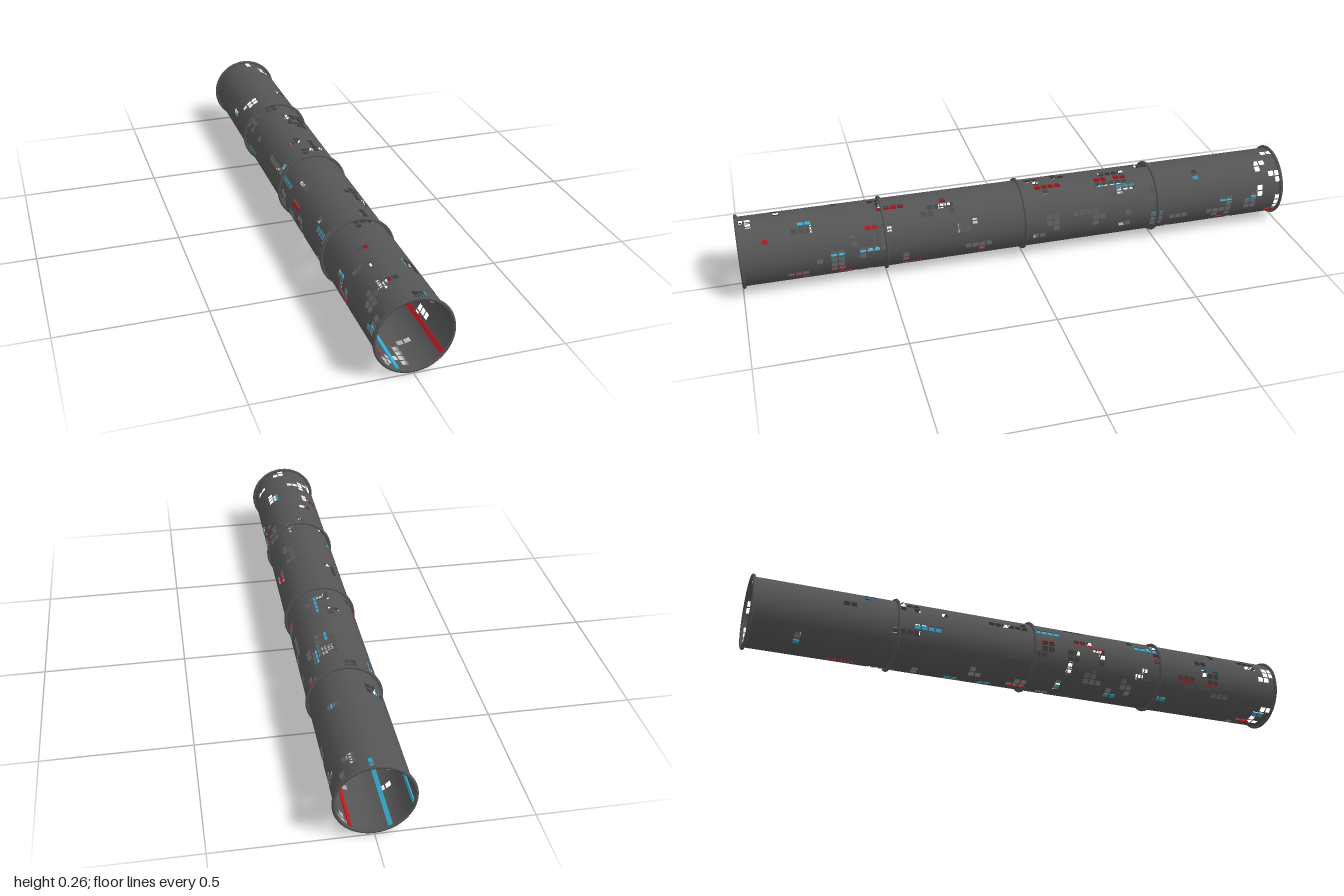
import * as THREE from 'three';

const R = 0.121, AXIS_Y = 0.13, AROUND = 32, ALONG = 80;

function seeded(seed) {
  return () => {
    seed = (seed * 1664525 + 1013904223) >>> 0;
    return seed / 4294967296;
  };
}

// Cells knocked out of the shell in small wandering clusters
function makeHoles() {
  const rand = seeded(77);
  const holes = new Set();
  for (let c = 0; c < 110; c++) {
    let a = Math.floor(rand() * AROUND), k = Math.floor(rand() * ALONG);
    const steps = 1 + Math.floor(rand() * 7);
    for (let s = 0; s < steps; s++) {
      holes.add(a + k * AROUND);
      const dir = rand() < 0.5 ? -1 : 1;
      if (rand() < 0.6) k = THREE.MathUtils.clamp(k + dir, 0, ALONG - 1);
      else a = (a + dir + AROUND) % AROUND;
    }
  }
  return holes;
}

// Thin wall on a regular grid; an open cell keeps only a narrow frame
function makeShell() {
  const positions = [], normals = [], holes = makeHoles();
  const corner = (a, k) => {
    const t = (a / AROUND) * Math.PI * 2;
    positions.push(R * Math.cos(t), R * Math.sin(t), -0.995 + (k / ALONG) * 1.99);
    normals.push(Math.cos(t), Math.sin(t), 0);
  };
  const patch = (a0, a1, k0, k1) => {
    [[a0, k0], [a1, k0], [a1, k1], [a0, k0], [a1, k1], [a0, k1]].forEach(p => corner(...p));
  };
  const rim = 0.09;
  for (let k = 0; k < ALONG; k++) {
    for (let a = 0; a < AROUND; a++) {
      if (!holes.has(a + k * AROUND)) {
        patch(a, a + 1, k, k + 1);
        continue;
      }
      patch(a, a + 1, k, k + rim);
      patch(a, a + 1, k + 1 - rim, k + 1);
      patch(a, a + rim, k + rim, k + 1 - rim);
      patch(a + 1 - rim, a + 1, k + rim, k + 1 - rim);
    }
  }
  const geometry = new THREE.BufferGeometry();
  geometry.setAttribute('position', new THREE.Float32BufferAttribute(positions, 3));
  geometry.setAttribute('normal', new THREE.Float32BufferAttribute(normals, 3));
  return geometry;
}

export function createModel() {
  const model = new THREE.Group();
  model.name = 'perforatedTunnel';
  const tube = new THREE.Group();
  tube.name = 'tube';
  tube.position.y = AXIS_Y;
  model.add(tube);

  const grey = new THREE.MeshStandardMaterial({ color: 0x555555 });
  const greyThin = new THREE.MeshStandardMaterial({ color: 0x555555, side: THREE.DoubleSide });
  const red = new THREE.MeshStandardMaterial({ color: 0xc01820 });
  const blue = new THREE.MeshStandardMaterial({ color: 0x35a8cc });

  const shell = new THREE.Mesh(makeShell(), greyThin);
  shell.name = 'perforatedShell';
  tube.add(shell);

  // Hoops at the ends and at the section joints
  const hoop = new THREE.TorusGeometry(0.124, 0.006, 10, 64);
  [-0.994, -0.5, 0, 0.5, 0.994].forEach((z, i) => {
    const ring = new THREE.Mesh(hoop, grey);
    ring.name = `supportRing${i + 1}`;
    ring.position.z = z;
    tube.add(ring);
  });

  // Coloured strips on the inner wall: angles in degrees, one row per section
  const sections = [
    { z: 0.75, red: [201, 320], blue: [65, 244] },
    { z: 0.25, red: [167, 318], blue: [150, 255] },
    { z: -0.25, red: [165, 315], blue: [185, 280] },
    { z: -0.75, red: [310], blue: [108, 190, 245] },
  ];
  const stripShape = new THREE.BoxGeometry(0.004, 0.014, 0.49);
  const addStrip = (degrees, z, material, name) => {
    const t = THREE.MathUtils.degToRad(degrees);
    const strip = new THREE.Mesh(stripShape, material);
    strip.name = name;
    strip.position.set(0.116 * Math.cos(t), 0.116 * Math.sin(t), z);
    strip.rotation.z = t;
    tube.add(strip);
  };
  for (const s of sections) {
    s.red.forEach(d => addStrip(d, s.z, red, 'redStrip'));
    s.blue.forEach(d => addStrip(d, s.z, blue, 'blueStrip'));
  }
  return model;
}
